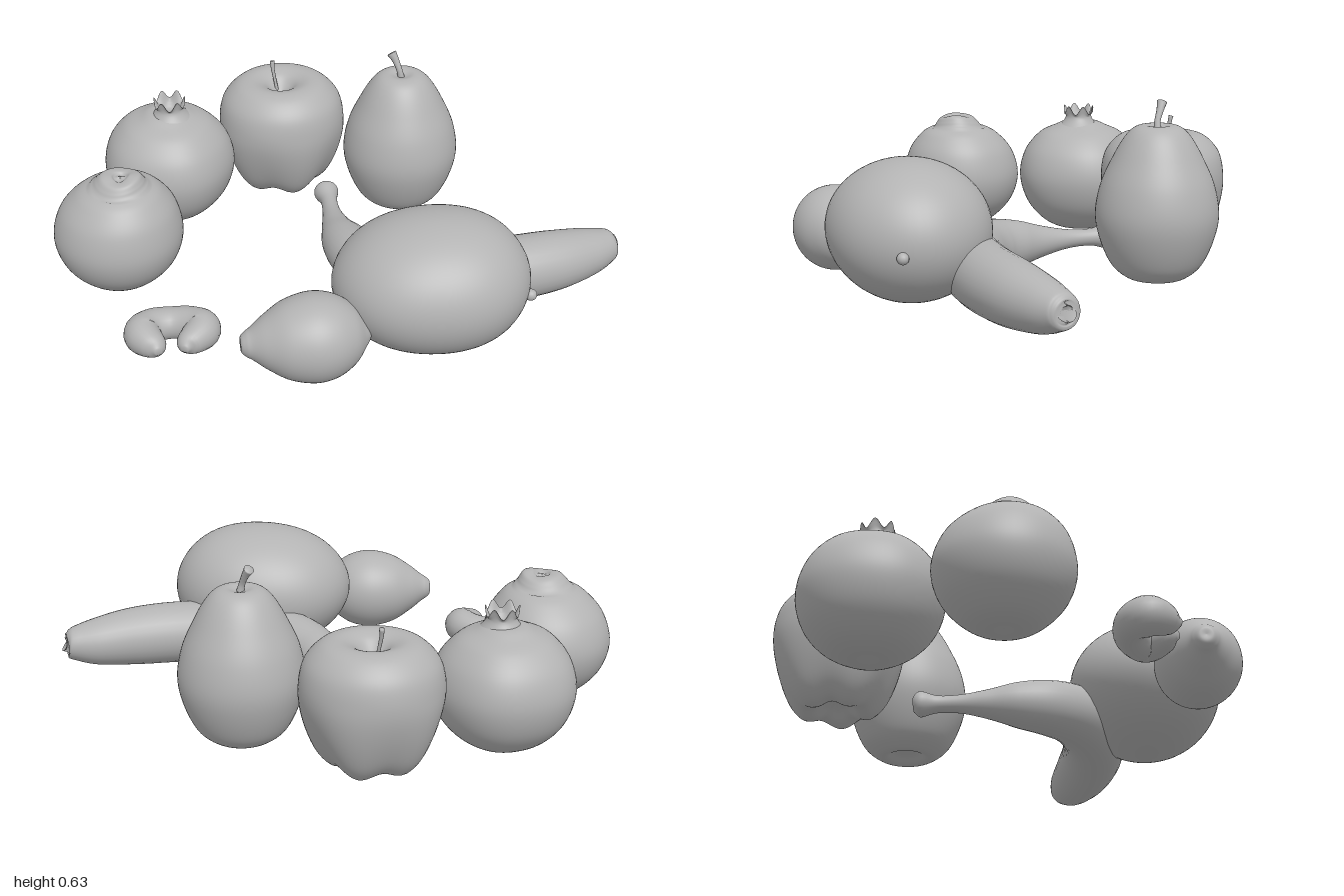
import * as THREE from 'three';
import { mergeVertices } from 'three/addons/utils/BufferGeometryUtils.js';

const grey = new THREE.MeshStandardMaterial({ color: 0xb3b3b3 });
grey.name = 'plainGrey';

// Weld seams and poles so shading is smooth all round
function weld(geo) {
  geo.deleteAttribute('uv');
  geo.deleteAttribute('normal');
  const g = mergeVertices(geo, 1e-5);
  g.computeVertexNormals();
  return g;
}

// Round fruit body: smoothed profile [radius, height], optionally reshaped per vertex
function turned(profile, reshape) {
  const curve = new THREE.SplineCurve(profile.map(p => new THREE.Vector2(...p)));
  const pts = curve.getPoints(profile.length * 6);
  pts.forEach(p => { p.x = Math.max(p.x, 0); });
  const geo = new THREE.LatheGeometry(pts, 60);
  if (reshape) {
    const pos = geo.attributes.position, v = new THREE.Vector3();
    for (let i = 0; i < pos.count; i++) {
      v.fromBufferAttribute(pos, i);
      reshape(v, Math.atan2(v.z, v.x));
      pos.setXYZ(i, v.x, v.y, v.z);
    }
  }
  return weld(geo);
}

// Tapered sweep through stations [x, y, z, radius]
function sweep(stations, up, steps = 60, sides = 24) {
  const path = new THREE.CatmullRomCurve3(stations.map(s => new THREE.Vector3(s[0], s[1], s[2])), false, 'catmullrom');
  const radii = new THREE.CatmullRomCurve3(stations.map(s => new THREE.Vector3(s[3], 0, 0)), false, 'catmullrom');
  const verts = [], index = [];
  for (let i = 0; i <= steps; i++) {
    const t = i / steps, p = path.getPoint(t), r = radii.getPoint(t).x;
    const T = path.getTangent(t);
    const S = up.clone().cross(T).normalize(), V = T.clone().cross(S);
    for (let j = 0; j < sides; j++) {
      const a = j / sides * Math.PI * 2;
      const q = p.clone().addScaledVector(S, r * Math.cos(a)).addScaledVector(V, r * Math.sin(a));
      verts.push(q.x, q.y, q.z);
    }
  }
  const at = (i, j) => i * sides + j % sides;
  const first = (steps + 1) * sides, last = first + 1;
  verts.push(...path.getPoint(0).toArray(), ...path.getPoint(1).toArray());
  for (let j = 0; j < sides; j++) {
    for (let i = 0; i < steps; i++) {
      index.push(at(i, j), at(i, j + 1), at(i + 1, j), at(i, j + 1), at(i + 1, j + 1), at(i + 1, j));
    }
    index.push(first, at(0, j + 1), at(0, j), last, at(steps, j), at(steps, j + 1));
  }
  const geo = new THREE.BufferGeometry();
  geo.setAttribute('position', new THREE.Float32BufferAttribute(verts, 3));
  geo.setIndex(index);
  geo.computeVertexNormals();
  return geo;
}

export function createModel() {
  const model = new THREE.Group();
  model.name = 'fruitSet';
  const Y = new THREE.Vector3(0, 1, 0), Z = new THREE.Vector3(0, 0, 1);
  const add = (name, geo, x = 0, y = 0, z = 0) => {
    const mesh = new THREE.Mesh(geo, grey);
    mesh.name = name;
    mesh.position.set(x, y, z);
    model.add(mesh);
    return mesh;
  };

  // Orange with a knobbly, slightly off-centre crown
  add('orange', turned([
    [0, 0.012], [0.06, 0.005], [0.13, 0.035], [0.2, 0.11], [0.228, 0.205], [0.205, 0.305],
    [0.15, 0.375], [0.1, 0.405], [0.083, 0.425], [0.065, 0.444], [0.035, 0.447], [0.02, 0.438], [0, 0.442],
  ], (v, a) => {
    const k = Math.max(0, v.y - 0.2) / 0.25;
    v.x += 0.024 * k * k;
    v.z += 0.024 * k * k;
    if (v.y > 0.4) v.y += 0.006 * Math.sin(a * 2 + 1) * Math.min(1, Math.hypot(v.x, v.z) / 0.06);
  }), -0.772, 0, 0.04);

  // Pomegranate body and toothed crown
  add('pomegranate', turned([
    [0, 0.012], [0.07, 0.004], [0.15, 0.04], [0.215, 0.115], [0.243, 0.215], [0.222, 0.31],
    [0.165, 0.38], [0.1, 0.413], [0.066, 0.428], [0.03, 0.432], [0, 0.432],
  ], (v, a) => {
    const s = 1 + 0.012 * Math.cos(a * 5 + 0.4);
    v.x *= s;
    v.z *= s;
  }), -0.592, 0, -0.405);
  add('pomegranateCrown', turned([
    [0.085, 0.405], [0.06, 0.432], [0.05, 0.452], [0.054, 0.47], [0.058, 0.478],
    [0.053, 0.476], [0.04, 0.455], [0.025, 0.436], [0, 0.43],
  ], (v, a) => {
    const k = Math.max(0, v.y - 0.45) / 0.028;
    v.y += 0.016 * k * Math.cos(a * 6);
  }), -0.578, 0, -0.393);

  // Apple, lobed underneath, with a thin stem
  add('apple', turned([
    [0, 0.055], [0.04, 0.04], [0.085, 0.012], [0.13, 0.015], [0.18, 0.07], [0.222, 0.17], [0.24, 0.27],
    [0.225, 0.365], [0.175, 0.425], [0.12, 0.443], [0.07, 0.43], [0.035, 0.4], [0, 0.37],
  ], (v, a) => {
    const low = Math.max(0, 1 - v.y / 0.3), s = 1 + 0.045 * low * Math.cos(a * 5);
    v.x *= s;
    v.z *= s * 0.95;
    v.y -= 0.01 * low * Math.cos(a * 5) * Math.min(1, Math.hypot(v.x, v.z) / 0.1);
  }), -0.155, 0, -0.587);
  add('appleStem', sweep([
    [-0.165, 0.36, -0.605, 0.007], [-0.175, 0.42, -0.615, 0.006],
    [-0.183, 0.47, -0.625, 0.007], [-0.184, 0.5, -0.632, 0.009],
  ], Z, 12, 10));

  // Pear and its stem
  add('pear', turned([
    [0, 0.04], [0.04, 0.028], [0.075, 0.008], [0.11, 0.015], [0.16, 0.06], [0.2, 0.15], [0.215, 0.24],
    [0.197, 0.34], [0.155, 0.435], [0.118, 0.5], [0.085, 0.535], [0.05, 0.546], [0.02, 0.538], [0, 0.532],
  ]), 0.285, 0, -0.403);
  add('pearStem', sweep([
    [0.285, 0.525, -0.4, 0.014], [0.277, 0.56, -0.403, 0.011],
    [0.264, 0.595, -0.417, 0.013], [0.25, 0.62, -0.428, 0.018],
  ], Z, 14, 12));

  // Mango: a full ellipsoid, a little slimmer at one end, with a small tip
  const mango = new THREE.SphereGeometry(1, 56, 40), mp = mango.attributes.position;
  for (let i = 0; i < mp.count; i++) {
    const x = mp.getX(i), y = mp.getY(i), z = mp.getZ(i);
    const swell = 1 + 0.1 * x * x * (1 - x * x), taper = 1 + 0.06 * x;
    mp.setXYZ(i, x * 0.335, y * 0.2365 * swell * taper, z * 0.275 * swell);
  }
  add('mango', weld(mango), 0.28, 0.2385, 0.475);
  add('mangoTip', new THREE.SphereGeometry(0.02, 18, 14), 0.603, 0.213, 0.56).scale.set(1.1, 1, 1);

  // Lemon lying on its side
  const lemon = add('lemon', turned([
    [0, -0.225], [0.025, -0.226], [0.042, -0.21], [0.055, -0.19], [0.09, -0.145], [0.132, -0.075],
    [0.151, 0.01], [0.138, 0.085], [0.1, 0.145], [0.055, 0.18], [0.025, 0.2], [0, 0.205],
  ]), -0.143, 0.162, 0.656);
  lemon.rotation.set(0, 0.08, -Math.PI / 2);

  // Small curled nut with two plump lobes
  add('curledNut', sweep([
    [-0.638, 0.075, 0.58, 0.012], [-0.65, 0.075, 0.55, 0.042], [-0.69, 0.077, 0.485, 0.065],
    [-0.66, 0.077, 0.438, 0.06], [-0.595, 0.075, 0.422, 0.055], [-0.53, 0.078, 0.438, 0.06],
    [-0.492, 0.08, 0.48, 0.064], [-0.54, 0.077, 0.545, 0.042], [-0.552, 0.075, 0.575, 0.012],
  ], Y, 64, 24));

  // Banana curving from its stem round to the blunt tip
  add('banana', sweep([
    [-0.005, 0.095, -0.34, 0.028], [-0.005, 0.096, -0.315, 0.046], [0, 0.096, -0.255, 0.031],
    [0.003, 0.096, -0.17, 0.034], [0.012, 0.096, -0.07, 0.055], [0.032, 0.098, 0.03, 0.083],
    [0.08, 0.103, 0.135, 0.1], [0.18, 0.112, 0.22, 0.109], [0.36, 0.117, 0.275, 0.114],
    [0.56, 0.117, 0.274, 0.115], [0.74, 0.113, 0.235, 0.109], [0.88, 0.108, 0.185, 0.089],
    [0.96, 0.111, 0.155, 0.065], [0.985, 0.113, 0.147, 0.05], [0.988, 0.113, 0.146, 0.02],
  ], Y, 98, 28));

  return model;
}
